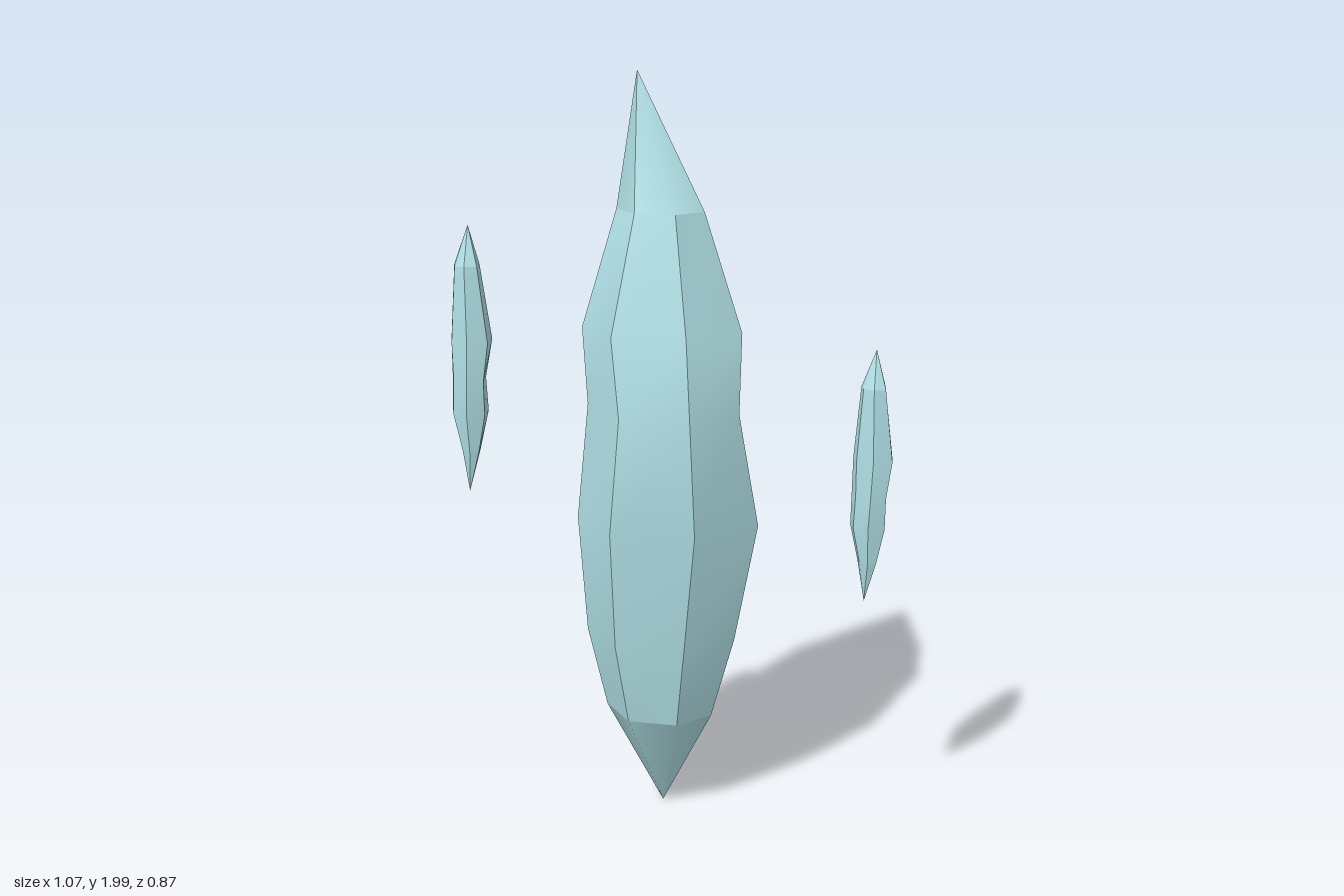
import * as THREE from 'three';
import { toCreasedNormals } from 'three/addons/utils/BufferGeometryUtils.js';

const material = new THREE.MeshStandardMaterial({ color: 0xb0e0e6 });

// Builds a mesh from corner triples; edges sharper than the crease stay hard
function facets(name, corners, crease) {
  const geometry = new THREE.BufferGeometry().setFromPoints(corners);
  const mesh = new THREE.Mesh(toCreasedNormals(geometry, crease), material);
  mesh.name = name;
  return mesh;
}

// outline: cross-section in 0..1, running left, back, right, front
// levels: [y, xMin, xMax, zMin, zMax] from bottom to top
function crystal(name, { outline, levels, bottom, top }) {
  const rings = levels.map(([y, x0, x1, z0, z1]) => outline.map(([u, v]) =>
    new THREE.Vector3(x0 + u * (x1 - x0), y, z0 + v * (z1 - z0))));
  const base = new THREE.Vector3(...bottom);
  const apex = new THREE.Vector3(...top);
  const first = rings[0];
  const last = rings[rings.length - 1];
  const body = [], upper = [], lower = [];
  outline.forEach((_, i) => {
    const j = (i + 1) % outline.length;
    for (let k = 0; k < rings.length - 1; k++) {
      const low = rings[k], high = rings[k + 1];
      body.push(low[j], low[i], high[i], low[j], high[i], high[j]);
    }
    upper.push(last[j], last[i], apex);
    lower.push(first[i], first[j], base);
  });
  const group = new THREE.Group();
  group.name = name;
  group.add(
    facets('crystalBody', body, 0.55),
    facets('upperPoint', upper, 0.8),
    facets('lowerPoint', lower, 0.8),
  );
  return group;
}

const LARGE = {
  outline: [[0, 0.41], [0.24, 0.06], [0.71, 0], [0.955, 0.19],
    [1, 0.49], [0.92, 0.91], [0.5, 1], [0.07, 0.79]],
  levels: [
    [0.30, -0.10, 0.16, -0.14, 0.19],
    [0.53, -0.155, 0.215, -0.17, 0.24],
    [0.85, -0.18, 0.275, -0.185, 0.265],
    [1.16, -0.155, 0.20, -0.175, 0.29],
    [1.36, -0.165, 0.225, -0.16, 0.24],
    [1.66, -0.075, 0.13, -0.09, 0.165],
  ],
  bottom: [0.045, 0.01, 0.045],
  top: [-0.02, 2, 0.015],
};

const SMALL = {
  outline: [[0, 0.56], [0.08, 0.23], [0.5, 0], [0.95, 0.15],
    [1, 0.51], [0.76, 0.97], [0.27, 0.92]],
  levels: [
    [0.105, -0.03, 0.016, -0.025, 0.033],
    [0.20, -0.05, 0.04, -0.05, 0.048],
    [0.285, -0.047, 0.035, -0.055, 0.055],
    [0.38, -0.05, 0.052, -0.05, 0.058],
    [0.565, -0.037, 0.025, -0.03, 0.04],
  ],
  bottom: [-0.015, 0, 0.01],
  top: [0, 0.66, 0],
};

export function createModel() {
  const model = new THREE.Group();
  model.name = 'floatingCrystals';
  model.add(crystal('largeCrystal', LARGE));

  // Three matching shards hovering around the large crystal
  const shards = {
    rightShard: [-0.487, 1.0, 0.135],
    leftFrontShard: [0.482, 0.675, 0.38],
    leftBackShard: [0.327, 0.045, -0.38],
  };
  for (const [name, position] of Object.entries(shards)) {
    const shard = crystal(name, SMALL);
    shard.position.set(...position);
    model.add(shard);
  }
  return model;
}
